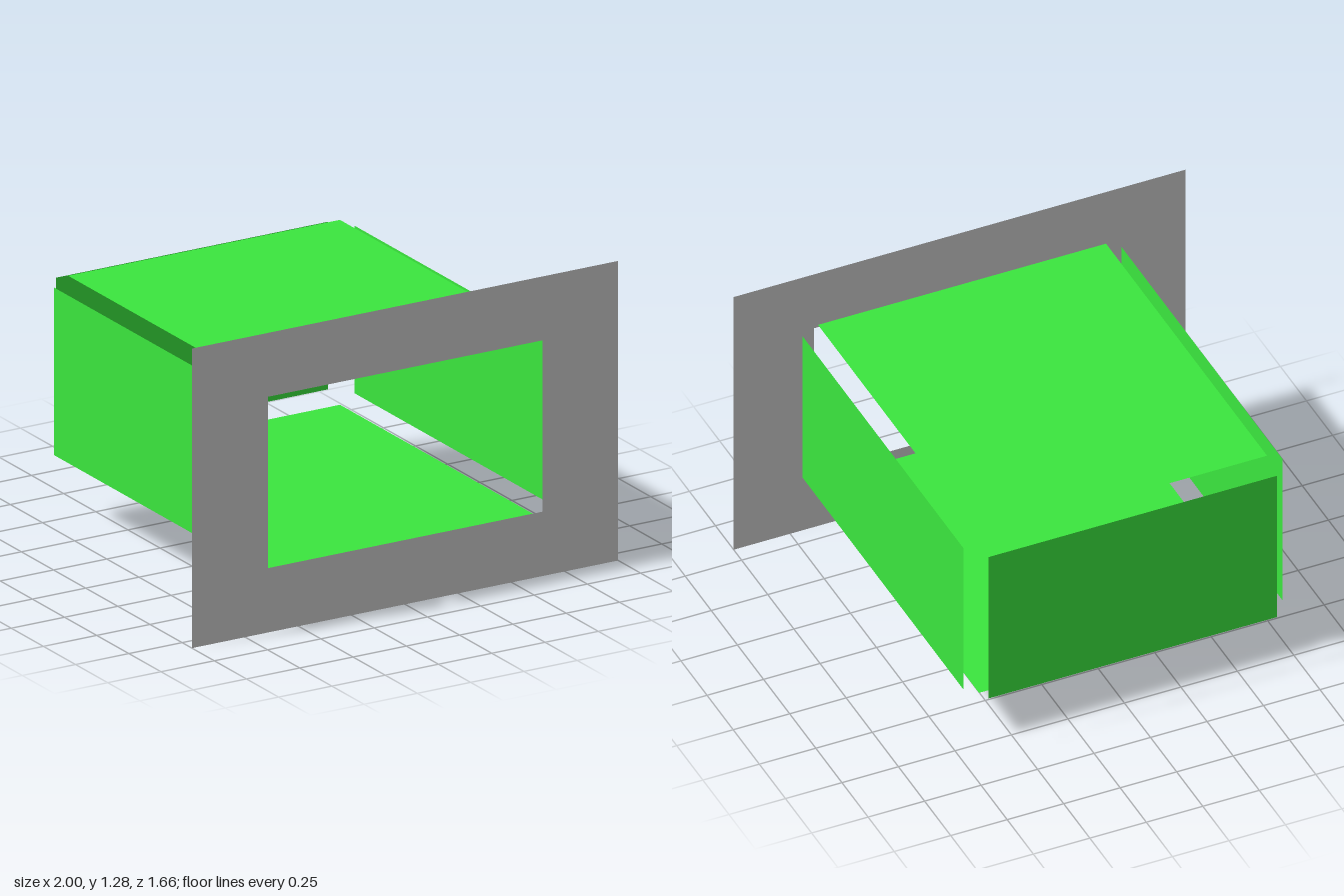
import * as THREE from 'three';

export function createModel() {
  const group = new THREE.Group();
  const grey = new THREE.MeshStandardMaterial({ color: 0xcccccc, side: THREE.DoubleSide });
  const green = new THREE.MeshStandardMaterial({ color: 0x3be63e, side: THREE.DoubleSide });

  const midY = 0.643;                 // height of the box centre
  const width = 1.275, height = 0.716, depth = 1.54;
  const midZ = 0.033;                 // centre of the panels along the depth

  // Flat sheet, turned into place by rx and ry
  function panel(name, w, h, x, y, z, rx = 0, ry = 0) {
    const mesh = new THREE.Mesh(new THREE.PlaneGeometry(w, h), green);
    mesh.name = name;
    mesh.position.set(x, y, z);
    mesh.rotation.set(rx, ry, 0);
    group.add(mesh);
  }

  // Front frame: flat sheet with a rectangular opening
  const rect = (T, x, y0, y1) => new T([[-x, y0], [x, y0], [x, y1], [-x, y1]]
    .map(([px, py]) => new THREE.Vector2(px, py)));
  const sheet = rect(THREE.Shape, 1, 0, 1.28);
  sheet.holes.push(rect(THREE.Path, 0.644, 0.275, 1.007));
  const frame = new THREE.Mesh(new THREE.ShapeGeometry(sheet), grey);
  frame.name = 'frontFrame';
  frame.position.z = 0.826;
  group.add(frame);

  // Separated walls of the box behind the opening
  panel('backPanel', width, height, 0, midY, -0.83, 0, Math.PI);
  panel('topPanel', width, depth, 0, 1.038, midZ, -Math.PI / 2);
  panel('bottomPanel', width, depth, 0, 0.248, midZ, Math.PI / 2);
  for (const [name, s] of [['leftPanel', 1], ['rightPanel', -1]])
    panel(name, depth, height, s * 0.705, midY, midZ, 0, s * Math.PI / 2);

  return group;
}
